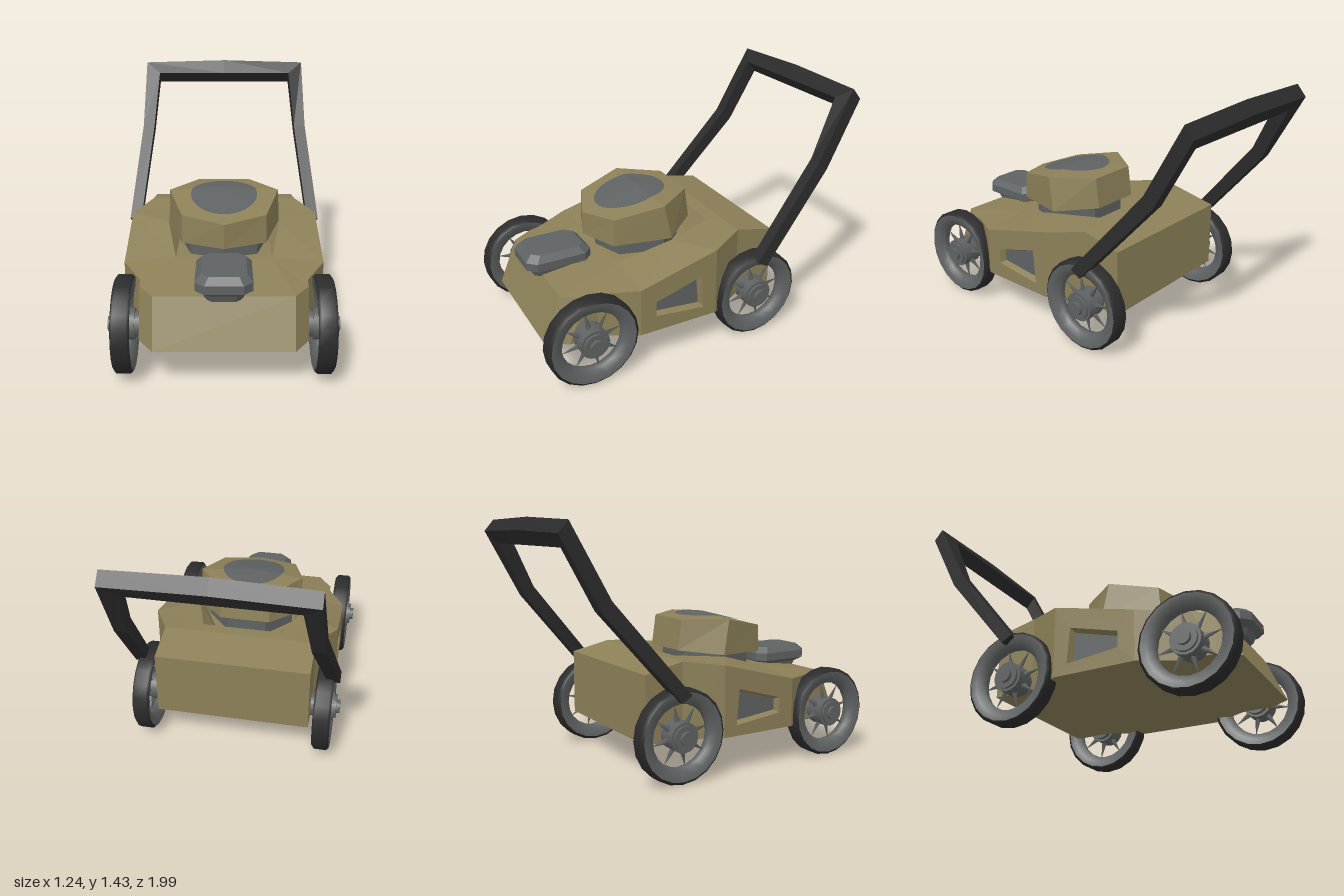
import * as THREE from 'three';

const mat = (name, color) => Object.assign(new THREE.MeshStandardMaterial({ color }), { name });

// Flat-faced geometry from convex polygons, fanned into triangles
function facets(polys) {
  const pos = [];
  for (const p of polys)
    for (let i = 1; i < p.length - 1; i++) pos.push(...p[0], ...p[i], ...p[i + 1]);
  const g = new THREE.BufferGeometry();
  g.setAttribute('position', new THREE.Float32BufferAttribute(pos, 3));
  g.computeVertexNormals();
  return g;
}

const flip = ([x, y, z]) => [-x, y, z];
const mirrorPoly = (p) => p.map(flip).reverse();
// Full ring from its +x half, ordered front to back
const fullRing = (half) => [...half, ...half.filter((p) => p[0] !== 0).map(flip).reverse()];

// Skin between consecutive rings
function skin(rings) {
  const out = [];
  for (let k = 0; k < rings.length - 1; k++) {
    const a = rings[k], b = rings[k + 1], n = a.length;
    for (let i = 0; i < n; i++) out.push([a[i], a[(i + 1) % n], b[(i + 1) % n], b[i]]);
  }
  return out;
}
const loft = (rings) => facets([...skin(rings), [...rings[0]].reverse(), rings[rings.length - 1]]);

// Turn a polygon so that it faces up (or down)
function facing(p, sign) {
  const [a, b, c] = p.slice(0, 3).map((v) => new THREE.Vector3(...v));
  const ny = b.sub(a).cross(c.sub(a)).y;
  return ny * sign < 0 ? [...p].reverse() : p;
}

export function createModel() {
  const khaki = mat('khaki paint', 0x8c8058);
  const grey = mat('grey metal', 0x5f6262);
  const black = mat('black rubber', 0x2b2b2b);
  const model = new THREE.Group();
  model.name = 'lawnMower';
  const add = (name, geo, material, parent = model) => {
    const m = new THREE.Mesh(geo, material);
    m.name = name;
    parent.add(m);
    return m;
  };

  // Deck: footprint and shoulder line of the +x half
  const b = [[.37, .95], [.45, .83], [.45, .66], [.56, .45], [.56, -.03], [.45, -.24], [.45, -.475]]
    .map(([x, z]) => [x, .215, z]);
  const t = [[.37, .475, .84], [.45, .475, .72], [.45, .485, .66], [.56, .5, .45],
    [.56, .625, -.03], [.45, .65, -.24], [.45, .6, -.475]];
  // Engine well: rim and floor
  const p = [[.27, .53, .455], [.33, .625, .13], [.235, .645, -.16]];
  const f1 = [.265, .53, .13], f2 = [.15, .53, -.1];
  // Side vent opening and its recessed panel
  const hole = [[.56, .31, .355], [.56, .277, .05], [.56, .482, .068], [.56, .4, .355]];
  const inner = [[.525, .322, .34], [.525, .295, .068], [.525, .462, .082], [.525, .388, .34]];

  const half = [];
  for (let i = 0; i < 6; i++) {
    const quad = [b[i], b[i + 1], t[i + 1], t[i]];
    if (i === 3) half.push(...skin([quad, hole, inner]));
    else half.push(quad);
  }
  const tops = [[t[0], t[1], p[0]], [t[1], t[2], p[0]], [t[2], t[3], p[0]], [t[3], t[4], p[1], p[0]],
    [t[4], p[2], p[1]], [t[4], t[5], p[2]], [p[0], p[1], f1], [p[1], p[2], f2, f1]];
  half.push(...tops.map((q) => facing(q, 1)));
  const across = (u, v) => [u, v, flip(v), flip(u)];
  const middle = [across(t[0], p[0]), across(t[5], p[2]), across(t[5], t[6]), across(p[2], f2),
    across(p[0], f1), across(f1, f2)].map((q) => facing(q, 1));
  for (let i = 0; i < 6; i++) middle.push(facing(across(b[i], b[i + 1]), -1));
  middle.push([flip(b[0]), b[0], t[0], flip(t[0])], [b[6], flip(b[6]), flip(t[6]), t[6]]);
  add('deck', facets([...half, ...half.map(mirrorPoly), ...middle]), khaki);
  add('leftVent', facets([inner]), grey);
  add('rightVent', facets([mirrorPoly(inner)]), grey);

  // Engine block in the well
  const plan = [[0, .54], [.235, .455], [.325, .13], [.15, -.08]];
  const block = (y) => fullRing(plan.map(([x, z]) => [x * .8, y, .2 + (z - .2) * .78]));
  add('engineBlock', loft([block(.52), block(.68)]), grey);

  // Engine hood with a crowned top
  const low = fullRing([[0, .615, .54], [.235, .62, .455], [.325, .632, .13], [.15, .655, -.08]]);
  const high = fullRing([[0, .755, .54], [.235, .78, .445], [.315, .838, .17], [.15, .835, -.055]]);
  const crown = [0, .855, .19];
  const roof = high.map((a, i) => [crown, a, high[(i + 1) % high.length]]);
  add('engineHood', facets([...skin([low, high]), ...roof, [...low].reverse()]), khaki);

  // Oval cover following the hood's top
  const roofY = (x, z) => {
    for (const [c, a, d] of roof) {
      const ax = a[0] - c[0], az = a[2] - c[2], dx = d[0] - c[0], dz = d[2] - c[2];
      const det = ax * dz - az * dx, px = x - c[0], pz = z - c[2];
      const u = (px * dz - pz * dx) / det, v = (ax * pz - az * px) / det;
      if (u >= -1e-6 && v >= -1e-6) return c[1] + u * (a[1] - c[1]) + v * (d[1] - c[1]);
    }
    return crown[1];
  };
  const lift = .005, N = 48;
  const oval = Array.from({ length: N }, (_, i) => {
    const a = (i / N) * Math.PI * 2, x = .19 * Math.sin(a), z = .237 + .212 * Math.cos(a);
    return [x, roofY(x, z) + lift, z];
  });
  const top = [crown[0], crown[1] + lift, crown[2]];
  add('hoodCover', facets(oval.map((a, i) => [top, a, oval[(i + 1) % N]])), grey);

  // Air filter housing on the nose
  const octagon = (w, d, c, y) => fullRing([[w - c, y, .735 + d], [w, y, .735 + d - c],
    [w, y, .735 - d + c], [w - c, y, .735 - d]]);
  add('airFilter', loft([octagon(.1, .14, .04, .46), octagon(.11, .155, .04, .5),
    octagon(.15, .193, .05, .525), octagon(.15, .193, .05, .572), octagon(.118, .155, .04, .608)]), grey);

  // Push handle: sections [outer front, outer rear, inner rear, inner front]
  const section = (xo, xi, front, rear) => [[xo, ...front], [xo, ...rear], [xi, ...rear], [xi, ...front]];
  const arm = [
    section(.612, .54, [.497, -.28], [.462, -.342]),
    section(.552, .478, [1.015, -.717], [.962, -.778]),
    [[.535, 1.415, -.935], [.535, 1.35, -.99], [.445, 1.28, -.94], [.445, 1.35, -.88]],
  ];
  const centre = [[0, 1.43, -.935], [0, 1.36, -.99], [0, 1.28, -.94], [0, 1.35, -.88]];
  add('handle', loft([...arm, centre, ...[...arm].reverse().map((s) => s.map(flip))]), black);

  // Wheels: axis along local y, outer side up
  const lathe = (pts, n) => new THREE.LatheGeometry(pts.map(([r, y]) => new THREE.Vector2(r, y)), n);
  const tyreGeo = lathe([[.248, -.05], [.265, -.036], [.265, .036], [.248, .05]], 20);
  const rimGeo = lathe([[.248, .05], [.215, .045], [.18, .022], [.175, 0], [.18, -.022],
    [.215, -.045], [.248, -.05]], 20);
  const spokeGeo = new THREE.ConeGeometry(.022, .13, 4).translate(0, .12, 0);
  const hubParts = [[.07, -.085, .07], [.085, -.055, .055], [.04, .07, .09]];
  for (const side of [1, -1]) {
    for (const [end, z] of [['front', .735], ['rear', -.31]]) {
      const wheel = new THREE.Group();
      wheel.name = end + (side > 0 ? 'Left' : 'Right') + 'Wheel';
      add('tyre', tyreGeo, black, wheel);
      add('rim', rimGeo, grey, wheel);
      for (const [r, y0, y1] of hubParts)
        add('hub', new THREE.CylinderGeometry(r, r, y1 - y0, 16), grey, wheel).position.y = (y0 + y1) / 2;
      for (let i = 0; i < 8; i++) {
        const spoke = add('spoke', spokeGeo, grey, wheel);
        spoke.rotation.set(Math.PI / 2, 0, (i / 8) * Math.PI * 2 + .2, 'XYZ');
        spoke.rotation.set(-Math.PI / 2, (i / 8) * Math.PI * 2 + .2, 0, 'YXZ');
      }
      wheel.rotation.z = -side * Math.PI / 2;
      wheel.position.set(side * .53, .265, z);
      model.add(wheel);
    }
  }
  return model;
}
